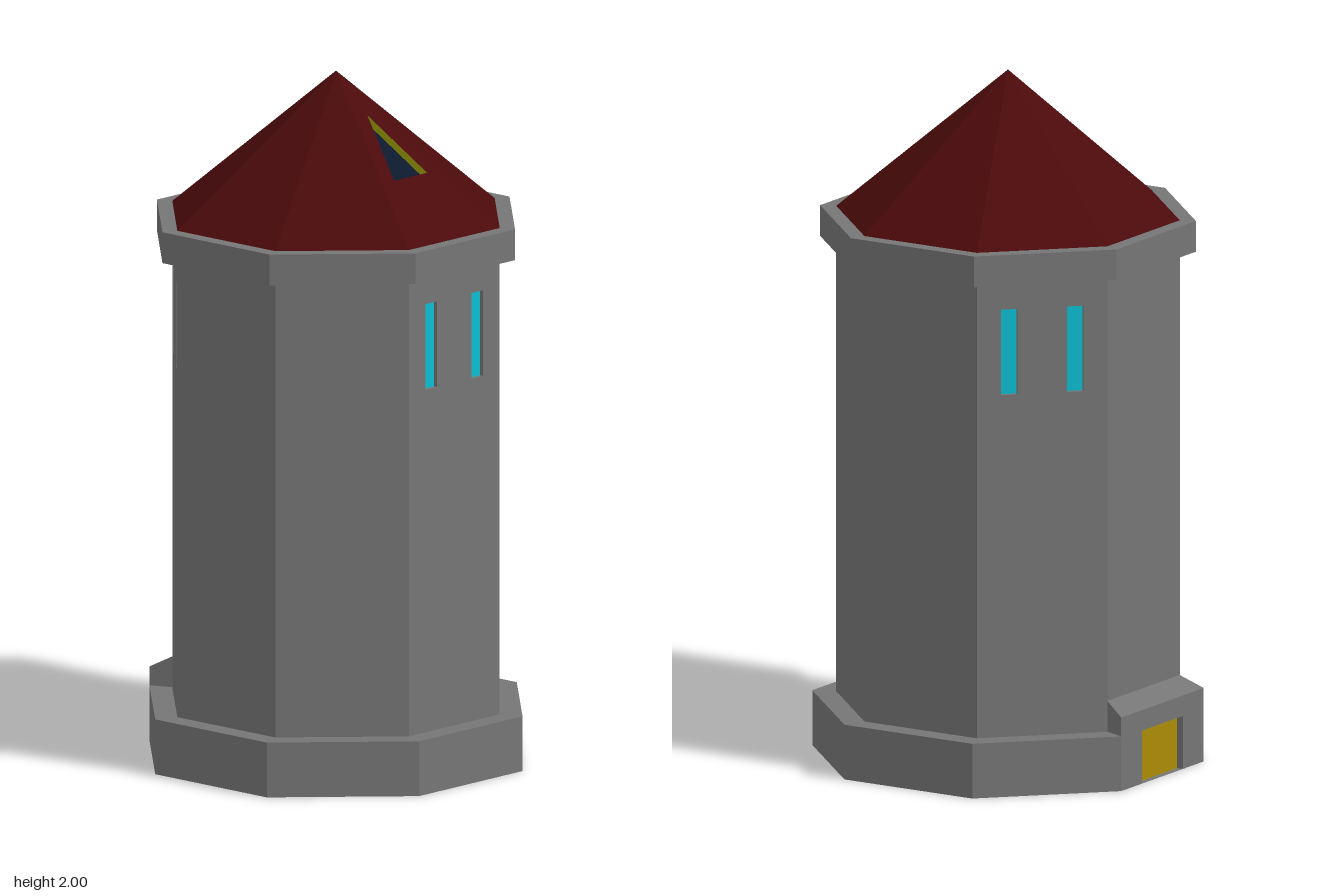
import * as THREE from 'three';

const SIDES = 8, STEP = Math.PI * 2 / SIDES, TAN = Math.tan(STEP / 2);
const WALL = 0.459, BASE = 0.523, RING = 0.502;        // distances from axis to flat sides
const BASE_TOP = 0.16, RING_LOW = 1.49, RING_TOP = 1.58, TIP = 2;

const mat = (color) => new THREE.MeshStandardMaterial({ color, flatShading: true, side: THREE.DoubleSide });
const stone = mat(0x757575), roofRed = mat(0x4b0a0b), glass = mat(0x0cbdd0);
const gold = mat(0xab8b08), trim = mat(0xa6a60c), navy = mat(0x0c1a2d);

const v2 = (pts) => pts.map(([x, y]) => new THREE.Vector2(x, y));
const rect = (x, y, w, h) => [[x - w / 2, y], [x + w / 2, y], [x + w / 2, y + h], [x - w / 2, y + h]];

function add(parent, name, geometry, material) {
  const mesh = new THREE.Mesh(geometry, material);
  mesh.name = name;
  parent.add(mesh);
  return mesh;
}

function group(parent, name) {
  const g = new THREE.Group();
  g.name = name;
  parent.add(g);
  return g;
}

// Flat quads, each given as four counter-clockwise corners
function quads(list) {
  const pos = list.flatMap(([a, b, c, d]) => [a, b, c, a, c, d].flat());
  const geo = new THREE.BufferGeometry();
  geo.setAttribute('position', new THREE.Float32BufferAttribute(pos, 3));
  geo.computeVertexNormals();
  return geo;
}

// Flat panel with holes
function panel(parent, name, outline, holes, material) {
  const shape = new THREE.Shape(v2(outline));
  for (const h of holes) shape.holes.push(new THREE.Path(v2(h)));
  return add(parent, name, new THREE.ShapeGeometry(shape), material);
}

// Sunken pane with the reveals around it
function recess(parent, name, pts, depth, paneMat, revealMat) {
  const g = group(parent, name);
  panel(g, name + 'Pane', pts, [], paneMat).position.z = -depth;
  add(g, name + 'Reveal', quads(pts.map((p, i) => {
    const q = pts[(i + 1) % pts.length];
    return [[...p, 0], [...q, 0], [...q, -depth], [...p, -depth]];
  })), revealMat);
}

// Eight-sided band; profile uses distances to the flat sides
function band(parent, name, profile, start = 0, count = SIDES) {
  const pts = v2(profile.map(([r, y]) => [r / Math.cos(STEP / 2), y]));
  add(parent, name, new THREE.LatheGeometry(pts, count, (start + 0.5) * STEP, count * STEP), stone);
}

export function createModel() {
  const tower = new THREE.Group();
  tower.name = 'tower';

  // Foot, open at the back side where the entrance stands
  band(tower, 'foot', [[BASE, 0], [BASE, BASE_TOP], [WALL, BASE_TOP]], 4, SIDES - 1);
  // Parapet ring
  band(tower, 'parapet', [[WALL, RING_LOW], [RING, RING_LOW], [RING, RING_TOP], [WALL, RING_TOP]]);

  const half = WALL * TAN;
  const slope = Math.hypot(WALL, TIP - RING_TOP);
  const windows = [-0.096, 0.096].map((x) => rect(x, 1.16, 0.048, 0.25));
  const dormer = [[-0.069, 0.23], [0.069, 0.23], [0, 0.457]];

  for (let i = 0; i < SIDES; i++) {
    const side = group(tower, 'side' + i);
    side.rotation.y = i * STEP;

    // Wall, with paired slit windows on three sides
    const wall = group(side, 'wall');
    wall.position.z = WALL;
    const holes = [0, 3, 5].includes(i) ? windows : [];
    const low = i === 4 ? 0.25 : BASE_TOP;
    panel(wall, 'wallPanel', rect(0, low, 2 * half, RING_LOW - low), holes, stone);
    holes.forEach((w) => recess(wall, 'window', w, 0.012, glass, stone));

    // Roof slope, with a triangular opening at the front
    const roof = group(side, 'roof');
    roof.position.set(0, RING_TOP, WALL);
    roof.rotation.x = -Math.atan2(WALL, TIP - RING_TOP);
    panel(roof, 'roofPanel', [[-half, 0], [half, 0], [0, slope]], i === 0 ? [dormer] : [], roofRed);
    if (i === 0) recess(roof, 'roofWindow', dormer, 0.022, navy, trim);
  }

  // Entrance block at the back with a sunken door
  const entrance = group(tower, 'entrance');
  entrance.rotation.y = Math.PI;
  const front = group(entrance, 'entranceFront');
  front.position.z = BASE;
  const w = BASE * TAN, d = 0.108, h = 0.155, top = 0.215, back = 0.25;
  panel(front, 'entranceFace',
    [[-w, 0], [-d, 0], [-d, h], [d, h], [d, 0], [w, 0], [w, top], [-w, top]], [], stone);
  recess(front, 'door', rect(0, 0, 2 * d, h), 0.02, gold, stone);
  add(entrance, 'entranceRoof', quads([
    [[-w, top, BASE], [w, top, BASE], [half, back, WALL], [-half, back, WALL]],
    [[w, BASE_TOP, BASE], [half, BASE_TOP, WALL], [half, back, WALL], [w, top, BASE]],
    [[-half, BASE_TOP, WALL], [-w, BASE_TOP, BASE], [-w, top, BASE], [-half, back, WALL]],
  ]), stone);

  return tower;
}
